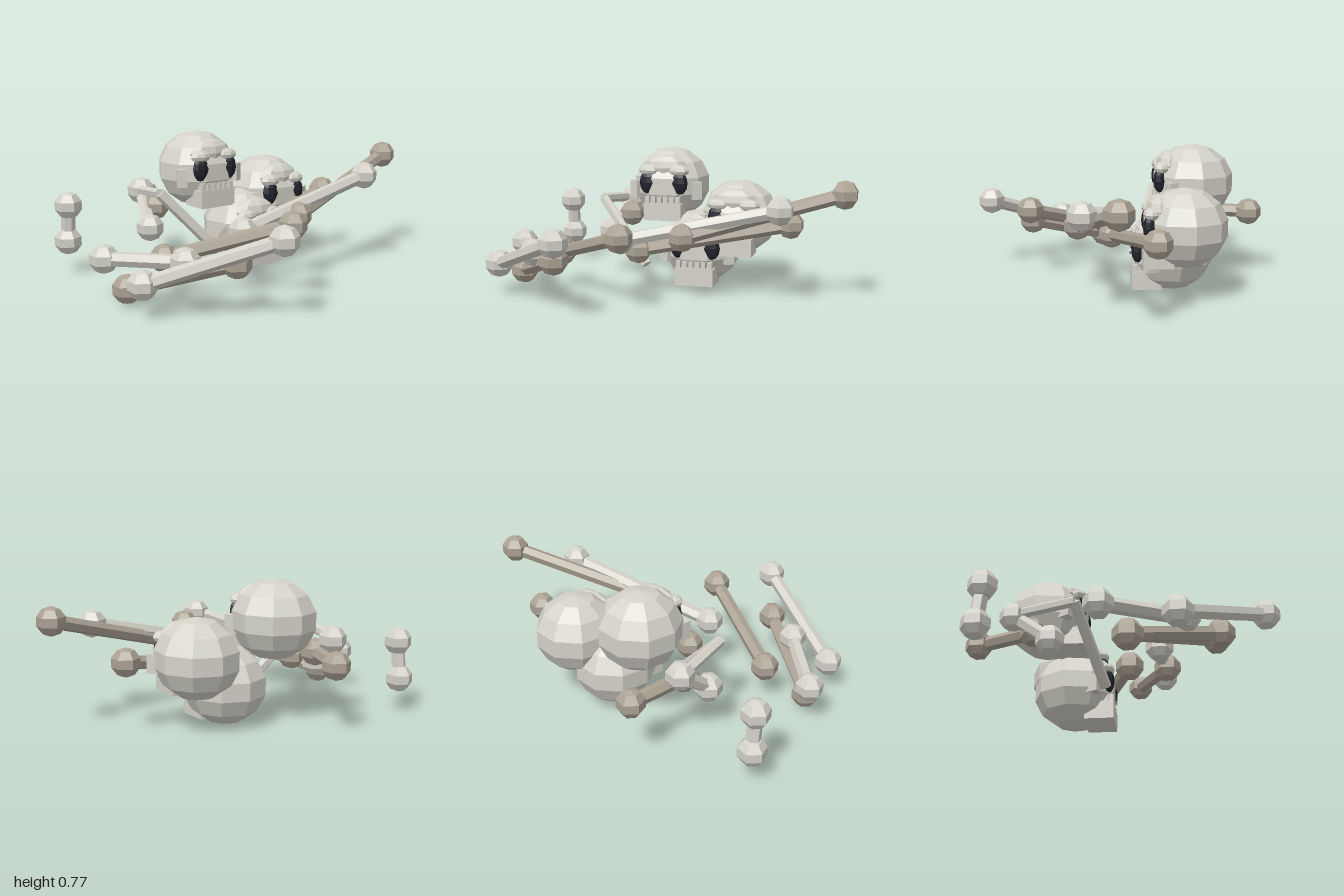
import * as THREE from 'three';

const mat = (color) => new THREE.MeshStandardMaterial({ color, flatShading: true });
const pale = mat(0xd4d2c8);
const aged = mat(0xaca395);
const dark = mat(0x22232d);

function add(parent, name, geometry, material, x = 0, y = 0, z = 0) {
  const mesh = new THREE.Mesh(geometry, material);
  mesh.name = name;
  mesh.position.set(x, y, z);
  parent.add(mesh);
  return mesh;
}

const box = (w, h, d) => new THREE.BoxGeometry(w, h, d);
const ball = (rx, ry, rz, sides = 8, rows = 6) =>
  new THREE.SphereGeometry(1, sides, rows).rotateY(Math.PI / 2).scale(rx, ry, rz);

// Six-sided rod between two points
function shaft(parent, name, a, b, r0, r1, material) {
  const dir = b.clone().sub(a);
  const mesh = add(parent, name, new THREE.CylinderGeometry(r1, r0, dir.length(), 6), material);
  mesh.position.copy(a).add(b).multiplyScalar(0.5);
  mesh.quaternion.setFromUnitVectors(new THREE.Vector3(0, 1, 0), dir.normalize());
}

// Long bone: shaft with a knob at each end
function bone(from, to, material) {
  const g = new THREE.Group();
  g.name = 'bone';
  const a = new THREE.Vector3(...from), b = new THREE.Vector3(...to);
  shaft(g, 'boneShaft', a, b, 0.038, 0.038, material);
  for (const p of [a, b]) add(g, 'boneKnob', ball(0.077, 0.077, 0.077, 6, 5), material, p.x, p.y, p.z);
  return g;
}

// Skull, origin at the middle of the cranium, facing +z
function skull(x, y, z) {
  const g = new THREE.Group();
  g.name = 'skull';
  g.position.set(x, y, z);
  add(g, 'cranium', ball(0.223, 0.213, 0.232, 9, 7).rotateY(Math.PI), pale);
  add(g, 'forehead', ball(0.13, 0.075, 0.07), pale, 0, 0.105, 0.135);
  add(g, 'upperFace', box(0.2, 0.13, 0.12), pale, 0, -0.035, 0.13);
  add(g, 'nose', box(0.042, 0.07, 0.03), dark, 0, -0.012, 0.197);
  for (const s of [-1, 1]) {
    add(g, 'eyeSocket', ball(0.05, 0.068, 0.035), dark, s * 0.093, 0.022, 0.188);
    add(g, 'browRidge', ball(0.062, 0.034, 0.045), pale, s * 0.088, 0.092, 0.178);
    add(g, 'cheekbone', box(0.055, 0.1, 0.08), pale, s * 0.172, -0.025, 0.115).rotation.y = s * 0.5;
  }
  // Jaw with a row of separate teeth
  add(g, 'jaw', box(0.22, 0.1, 0.16), pale, 0, -0.145, 0.14);
  for (let i = 0; i < 6; i++) add(g, 'tooth', box(0.025, 0.045, 0.025), pale, -0.09 + i * 0.036, -0.078, 0.205);
  return g;
}

export function createModel() {
  const model = new THREE.Group();
  model.name = 'bonePile';

  // Stacked skulls
  model.add(skull(-0.13, 0.55, -0.41), skull(0.295, 0.38, -0.33), skull(0.09, 0.21, -0.28));

  // Scattered long bones
  const bones = [
    [[0.92, 0.58, 0.03], [0.1, 0.35, 0.23], aged],
    [[0.61, 0.51, 0.2], [-0.25, 0.31, 0.2], pale],
    [[0.615, 0.37, -0.17], [-0.2, 0.23, 0.04], aged],
    [[-0.16, 0.385, 0.5], [-0.64, 0.2, 0.06], aged],
    [[-0.51, 0.25, 0.51], [-0.87, 0.085, 0.08], aged],
    [[-0.41, 0.395, 0.745], [-0.915, 0.17, 0.31], pale],
    [[-0.925, 0.22, -0.05], [-0.695, 0.25, 0.34], pale],
    [[-0.84, 0.385, -0.61], [-0.84, 0.18, -0.63], pale],
    [[-0.26, 0.35, -0.755], [-0.39, 0.35, -0.44], aged],
    [[-0.42, 0.43, -0.545], [-0.485, 0.26, -0.34], pale],
  ];
  for (const b of bones) model.add(bone(...b));

  // Bent rib leaning on the skulls
  const rib = new THREE.Group();
  rib.name = 'rib';
  const pts = [[-0.44, 0.44, -0.5], [-0.49, 0.47, -0.22], [-0.19, 0.12, -0.085]].map((p) => new THREE.Vector3(...p));
  shaft(rib, 'ribBack', pts[0], pts[1], 0.028, 0.028, pale);
  shaft(rib, 'ribFront', pts[1], pts[2], 0.03, 0.03, pale);
  model.add(rib);

  return model;
}
